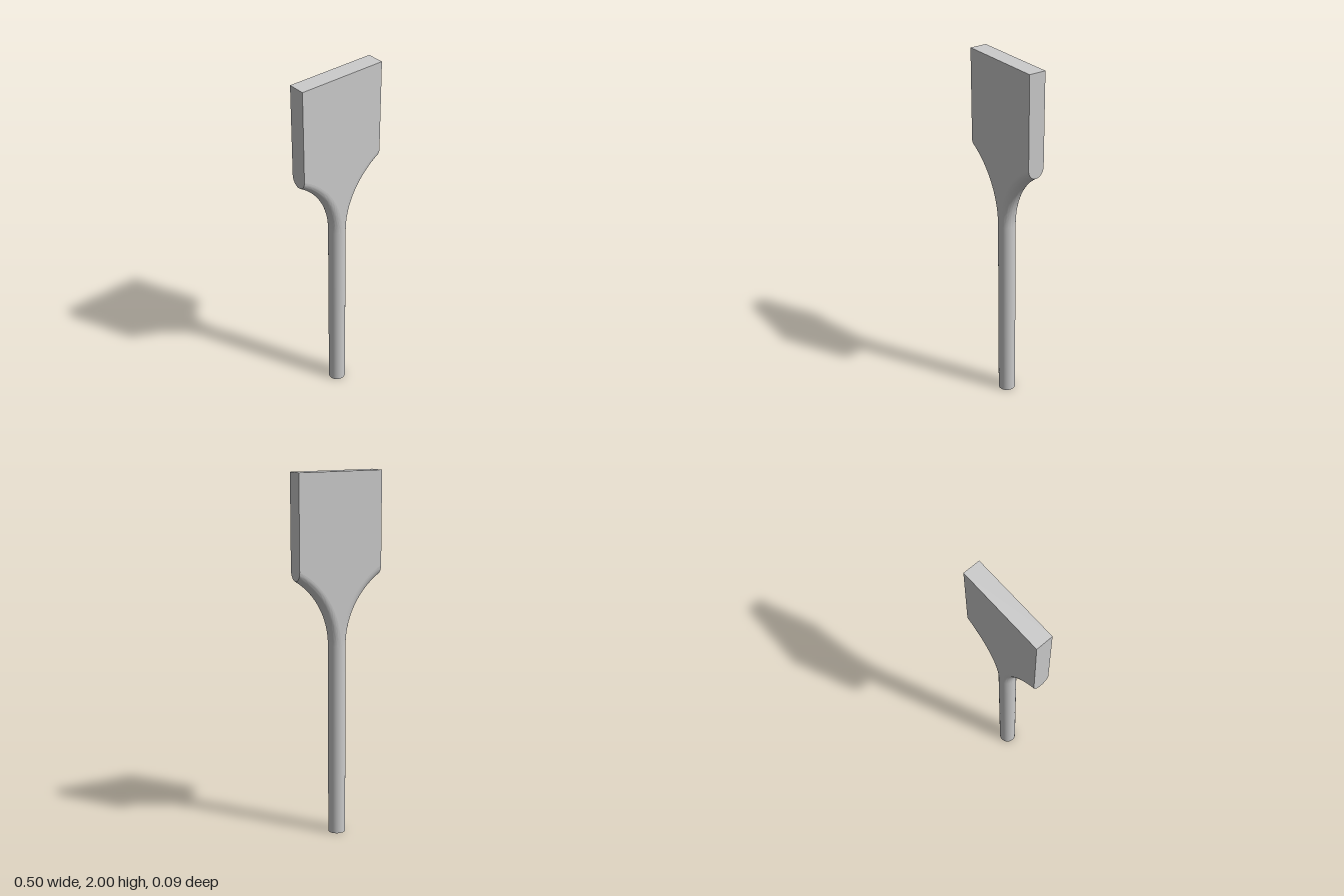
import * as THREE from 'three';
import { toCreasedNormals } from 'three/addons/utils/BufferGeometryUtils.js';

const R = 0.0475;          // stem radius and half thickness of the blade
const HALF = 0.25;         // half width of the blade
const TOP = 2;
const NECK = 1.07;         // height where the stem starts to flare
const FLARE = 0.4375;      // radius of the flare
const CX = R + FLARE;      // centre of the flare arc
const ARC = 32, ROUND = 24;

// Outline of one side at a given flare radius: an arc up to the blade's edge
function flareArc(rho) {
  const end = Math.acos((CX - HALF) / rho);
  return Array.from({ length: ARC + 1 }, (_, j) => {
    const a = (end * j) / ARC;
    return new THREE.Vector2(CX - rho * Math.cos(a), NECK + rho * Math.sin(a));
  });
}

// Half-round edge swept along the flare, then straight up as the flat blade side
function sideGeometry() {
  const pos = [], index = [], cols = ARC + 2;
  for (let i = 0; i <= ROUND; i++) {
    const phi = (i / ROUND - 0.5) * Math.PI;
    const line = [...flareArc(CX - R * Math.cos(phi)), new THREE.Vector2(HALF, TOP)];
    for (const p of line) pos.push(p.x, p.y, R * Math.sin(phi));
  }
  for (let i = 0; i < ROUND; i++) {
    for (let j = 0; j < cols - 1; j++) {
      const a = i * cols + j, b = a + cols;
      index.push(a, a + 1, b, b, a + 1, b + 1);
    }
  }
  const geo = new THREE.BufferGeometry();
  geo.setAttribute('position', new THREE.Float32BufferAttribute(pos, 3));
  geo.setIndex(index);
  return toCreasedNormals(geo, 0.6);
}

// Flat face between the two flare arcs
function faceGeometry() {
  const right = flareArc(CX);
  const left = right.slice(1).reverse().map((p) => new THREE.Vector2(-p.x, p.y));
  const top = [new THREE.Vector2(HALF, TOP), new THREE.Vector2(-HALF, TOP)];
  return new THREE.ShapeGeometry(new THREE.Shape([...right, ...top, ...left]));
}

export function createModel() {
  const group = new THREE.Group();
  const material = new THREE.MeshStandardMaterial({ color: 0xcccccc });
  const add = (name, geometry) => {
    const mesh = new THREE.Mesh(geometry, material);
    mesh.name = name;
    group.add(mesh);
    return mesh;
  };

  // Round stem, open where it runs into the neck
  add('stem', new THREE.CylinderGeometry(R, R, NECK, 48, 1, true).translate(0, NECK / 2, 0));
  add('stemEnd', new THREE.CircleGeometry(R, 48).rotateX(Math.PI / 2));

  // Blade and flared neck: each side and face repeats by a half turn
  const side = sideGeometry();
  const face = faceGeometry().translate(0, 0, R);
  add('leftEdge', side);
  add('rightEdge', side).rotation.y = Math.PI;
  add('frontFace', face);
  add('backFace', face).rotation.y = Math.PI;

  // Flat top of the blade
  add('bladeTop', new THREE.PlaneGeometry(2 * HALF, 2 * R).rotateX(-Math.PI / 2).translate(0, TOP, 0));
  return group;
}
